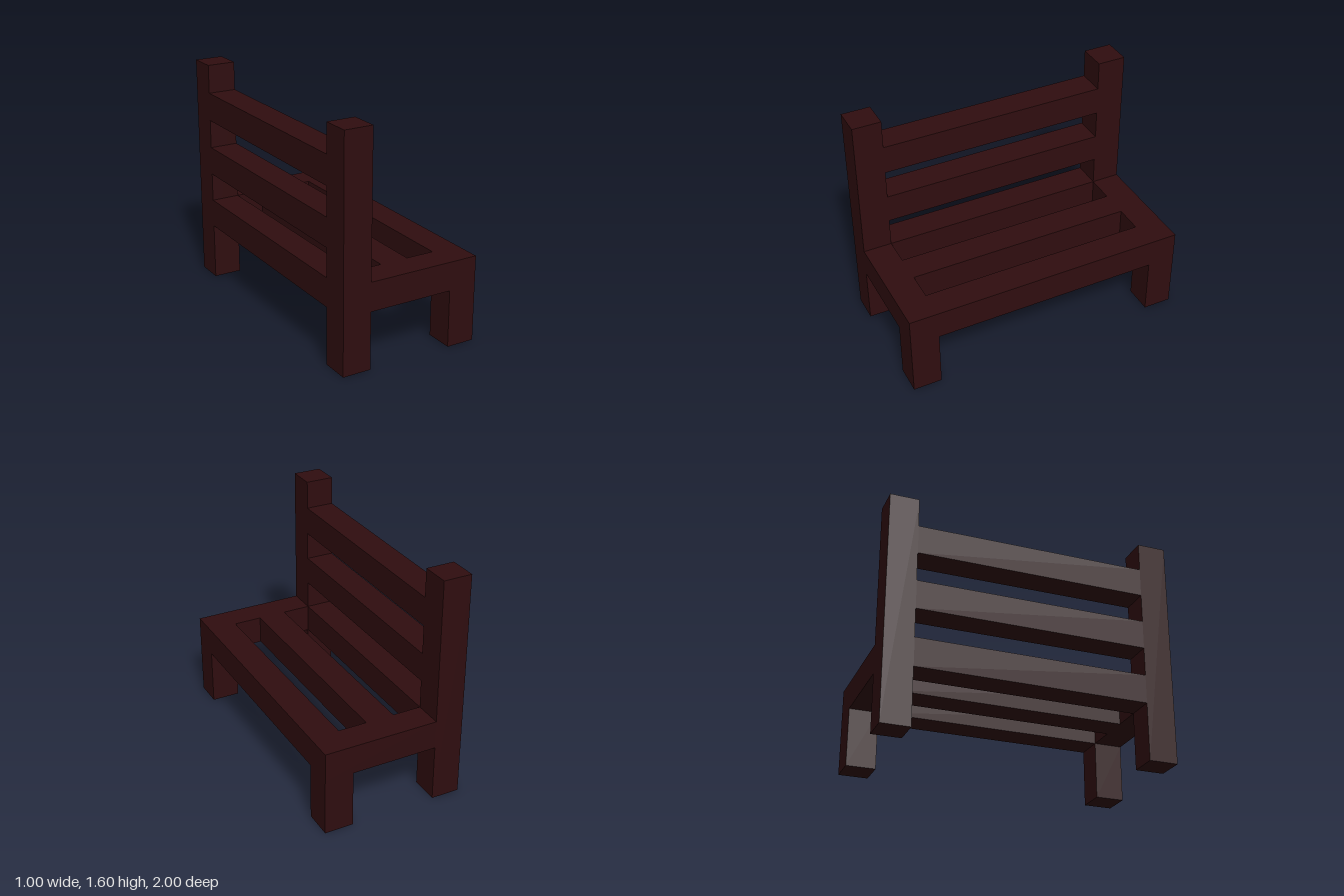
import * as THREE from 'three';

// Slatted bench made of square beams; the seat faces +x
export function createModel() {
  const bench = new THREE.Group();
  bench.name = 'bench';

  const darkWood = new THREE.MeshStandardMaterial({ color: 0x2f0d0f });
  darkWood.name = 'darkWood';

  const T = 0.2; // beam thickness
  const beam = (name, size, position) => {
    const mesh = new THREE.Mesh(new THREE.BoxGeometry(...size), darkWood);
    mesh.name = name;
    mesh.position.set(...position);
    bench.add(mesh);
  };

  // Posts, legs and seat end rails, mirrored across z
  for (const [side, s] of [['left', 1], ['right', -1]]) {
    const z = s * 0.9;
    beam(`${side}BackPost`, [T, 1.6, T], [-0.4, 0.8, z]);
    beam(`${side}FrontLeg`, [T, 0.4, T], [0.4, 0.2, z]);
    beam(`${side}SeatRail`, [0.8, T, T], [0.1, 0.5, z]);
  }

  // Seat slats between the end rails
  [-0.4, 0, 0.4].forEach((x, i) => beam(`seatSlat${i + 1}`, [T, T, 1.6], [x, 0.5, 0]));

  // Backrest slats between the posts
  [0.9, 1.3].forEach((y, i) => beam(`backSlat${i + 1}`, [T, T, 1.6], [-0.4, y, 0]));

  return bench;
}
